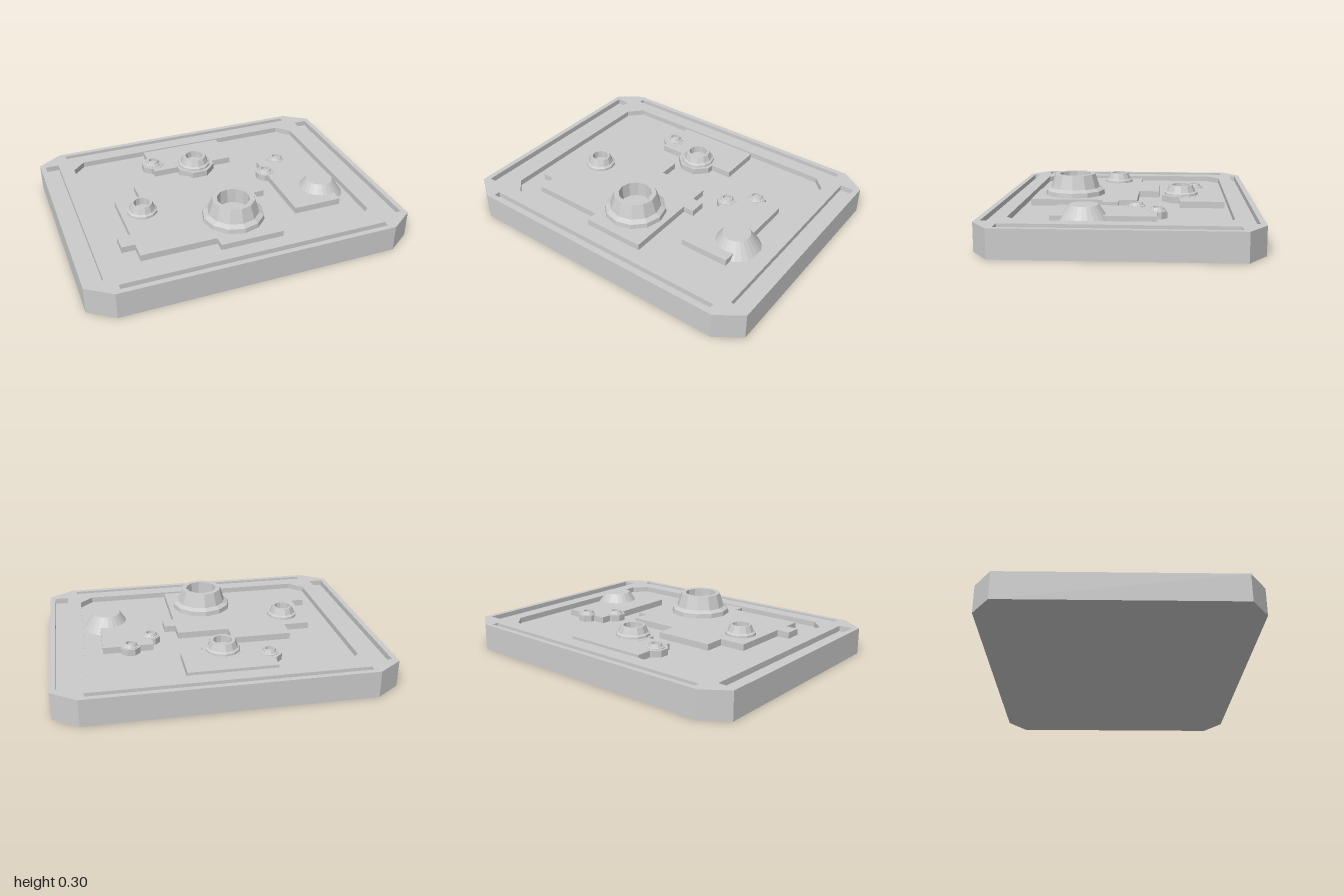
import * as THREE from 'three';

const TOP = 0.165, FLOOR = 0.13, PLATE = 0.17;
const mat = new THREE.MeshStandardMaterial({ color: 0xcccccc, flatShading: true });

// Plan outlines are lists of [x, z] seen from above
const chamferRect = (w, d, cx, cz) => [
  [-w + cx, d], [w - cx, d], [w, d - cz], [w, -d + cz],
  [w - cx, -d], [-w + cx, -d], [-w, -d + cz], [-w, d - cz],
];
const rect = (x0, z0, x1, z1) => [[x0, z1], [x1, z1], [x1, z0], [x0, z0]];
const toVectors = (pts) => pts.map(([x, z]) => new THREE.Vector2(x, -z));

function add(group, name, geometry, y = 0) {
  const mesh = new THREE.Mesh(geometry, mat);
  mesh.name = name;
  mesh.position.y = y;
  group.add(mesh);
  return mesh;
}

// Horizontal face, optionally with openings
function cap(pts, holes = []) {
  const shape = new THREE.Shape(toVectors(pts));
  holes.forEach((h) => shape.holes.push(new THREE.Path(toVectors(h))));
  return new THREE.ShapeGeometry(shape).rotateX(-Math.PI / 2);
}

// Vertical wall around an outline, facing outward or inward
function wall(pts, y0, y1, inward = false) {
  const pos = [];
  pts.forEach((p, i) => {
    let a = p, b = pts[(i + 1) % pts.length];
    if (inward) [a, b] = [b, a];
    pos.push(a[0], y0, a[1], b[0], y0, b[1], b[0], y1, b[1]);
    pos.push(a[0], y0, a[1], b[0], y1, b[1], a[0], y1, a[1]);
  });
  const g = new THREE.BufferGeometry();
  g.setAttribute('position', new THREE.Float32BufferAttribute(pos, 3));
  g.computeVertexNormals();
  return g;
}

function plate(pts) {
  return new THREE.ExtrudeGeometry(new THREE.Shape(toVectors(pts)),
    { depth: PLATE - FLOOR, bevelEnabled: false }).rotateX(-Math.PI / 2);
}

// Flanged hollow vent: flange radius, cone foot, cone top, bore, top height
function vent(name, x, z, [flange, foot, top, bore], height, sides, base) {
  const group = new THREE.Group();
  group.name = name;
  const rise = height - PLATE;
  const profile = [
    [flange, PLATE], [flange * 0.98, PLATE + rise * 0.22], [foot, PLATE + rise * 0.34],
    [top, height], [bore, height], [bore * 0.95, PLATE + rise * 0.3], [0, PLATE + rise * 0.3],
  ].map(([r, y]) => new THREE.Vector2(r, y));
  add(group, 'ventBody', new THREE.LatheGeometry(profile, sides));
  if (base) {
    const h = PLATE - FLOOR;
    add(group, 'ventBase', new THREE.CylinderGeometry(base, base, h, 8).rotateY(Math.PI / 8),
      FLOOR + h / 2 + 0.001);
  }
  group.position.set(x, 0, z);
  return group;
}

export function createModel() {
  const model = new THREE.Group();
  model.name = 'panelTile';

  // Chamfered slab with a central recess and four edge slots
  const outline = chamferRect(1, 0.78, 0.15, 0.105);
  const recess = chamferRect(0.795, 0.623, 0.08, 0.08);
  const pockets = [
    recess,
    rect(-0.967, -0.645, -0.882, 0.645), rect(0.882, -0.645, 0.967, 0.645),
    rect(-0.815, -0.748, 0.815, -0.712), rect(-0.815, 0.712, 0.815, 0.748),
  ];
  add(model, 'slabSides', wall(outline, 0, TOP));
  add(model, 'slabTop', cap(outline, pockets), TOP);
  add(model, 'slabBottom', cap(outline).rotateX(Math.PI));
  pockets.forEach((p, i) => {
    const name = i ? 'edgeSlot' : 'recess';
    add(model, name + 'Walls', wall(p, FLOOR, TOP, true));
    add(model, name + 'Floor', cap(p), FLOOR);
  });

  // Raised plates on the recess floor
  const mainPlate = [
    [-0.64, -0.07], [-0.48, -0.07], [-0.48, -0.2], [-0.11, -0.2], [-0.11, -0.07], [0.21, -0.07],
    [0.21, 0.04], [0.28, 0.04], [0.28, 0.14], [0.21, 0.14], [0.21, 0.585], [-0.18, 0.585],
    [-0.18, 0.515], [-0.64, 0.515], [-0.64, 0.405], [-0.72, 0.405], [-0.72, 0.3], [-0.64, 0.3],
  ];
  add(model, 'mainPlate', plate(mainPlate), FLOOR);
  add(model, 'backPlate', plate(rect(-0.3, -0.6, 0.235, -0.33)), FLOOR);
  add(model, 'sidePlate', plate(rect(0.38, -0.2, 0.685, 0.395)), FLOOR);

  // Vents
  model.add(
    vent('largeVent', -0.01, 0.337, [0.19, 0.157, 0.13, 0.1], 0.3, 12),
    vent('leftVent', -0.508, 0.09, [0.095, 0.08, 0.064, 0.05], 0.233, 12),
    vent('backVent', -0.02, -0.34, [0.107, 0.092, 0.076, 0.058], 0.232, 12, 0.13),
    vent('smallBackVent', -0.283, -0.435, [0.054, 0.042, 0.034, 0.026], 0.197, 12, 0.075),
    vent('smallSideVent', 0.384, -0.075, [0.052, 0.042, 0.034, 0.026], 0.192, 12, 0.062),
    vent('smallSideVent', 0.52, -0.2, [0.05, 0.042, 0.034, 0.026], 0.192, 12, 0.062),
  );

  // Solid truncated dome
  const dome = add(model, 'dome', new THREE.CylinderGeometry(0.083, 0.15, 0.225 - FLOOR, 24),
    (0.225 + FLOOR) / 2);
  dome.position.x = 0.634;
  dome.position.z = 0.207;

  return model;
}
